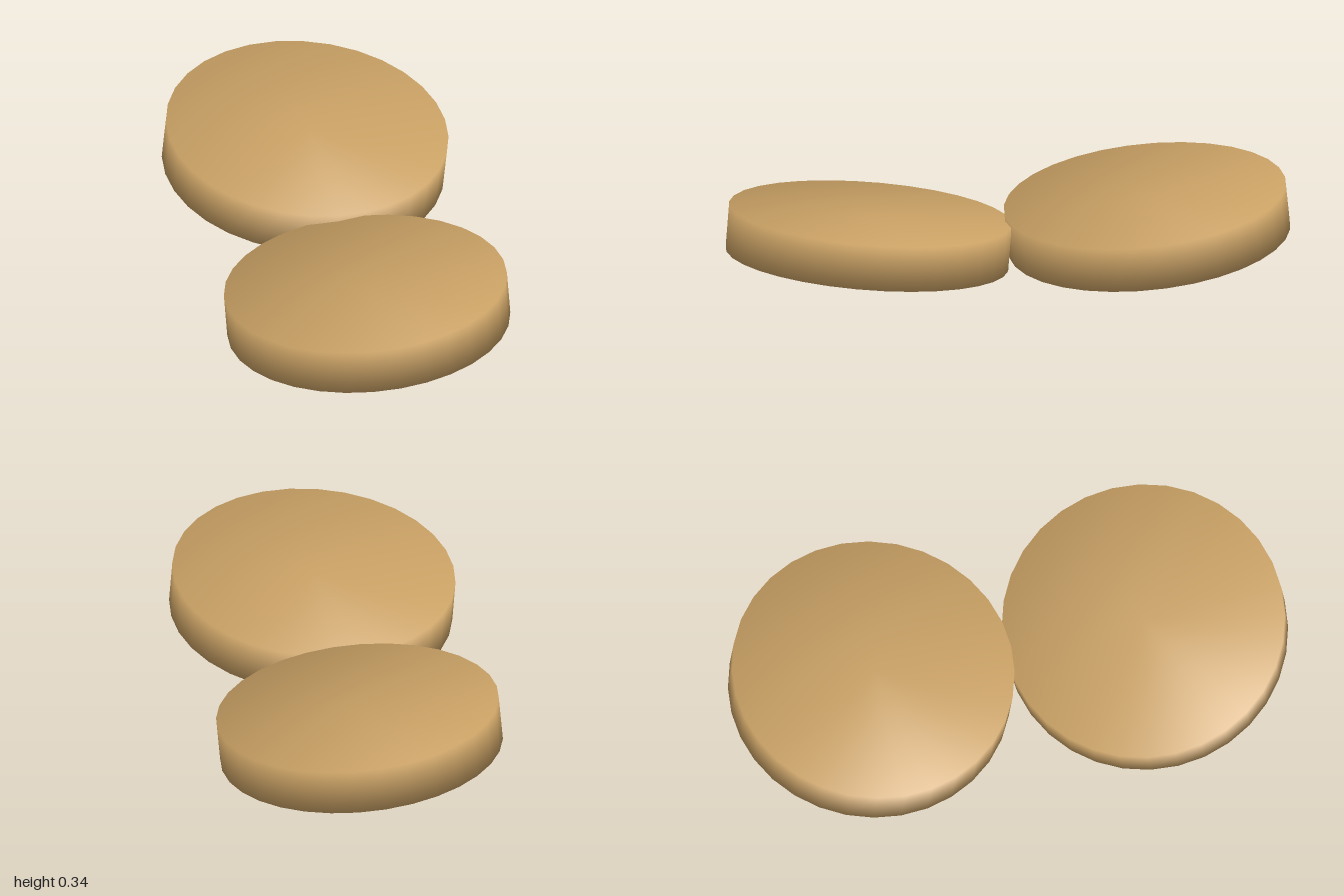
import * as THREE from 'three';
import { mergeVertices } from 'three/addons/utils/BufferGeometryUtils.js';

// Thick disc whose shading is blended softly over the rim
function softDisc(radius, height) {
  const geometry = new THREE.CylinderGeometry(radius, radius, height, 32);
  geometry.deleteAttribute('uv');
  geometry.deleteAttribute('normal');
  const merged = mergeVertices(geometry, 1e-4);
  merged.computeVertexNormals();
  return merged;
}

export function createModel() {
  const group = new THREE.Group();
  const material = new THREE.MeshStandardMaterial({ color: 0xc8a064 });

  // Two tilted discs touching near the middle, each rising outwards
  const discs = [
    { name: 'rightDisc', position: [-0.444, 0.185, -0.303], tilt: -7.4 },
    { name: 'leftDisc', position: [0.446, 0.144, 0.303], tilt: 5.8 },
  ];
  for (const { name, position, tilt } of discs) {
    const disc = new THREE.Mesh(softDisc(0.546, 0.175), material);
    disc.name = name;
    disc.position.set(...position);
    disc.rotation.z = THREE.MathUtils.degToRad(tilt);
    group.add(disc);
  }
  return group;
}
